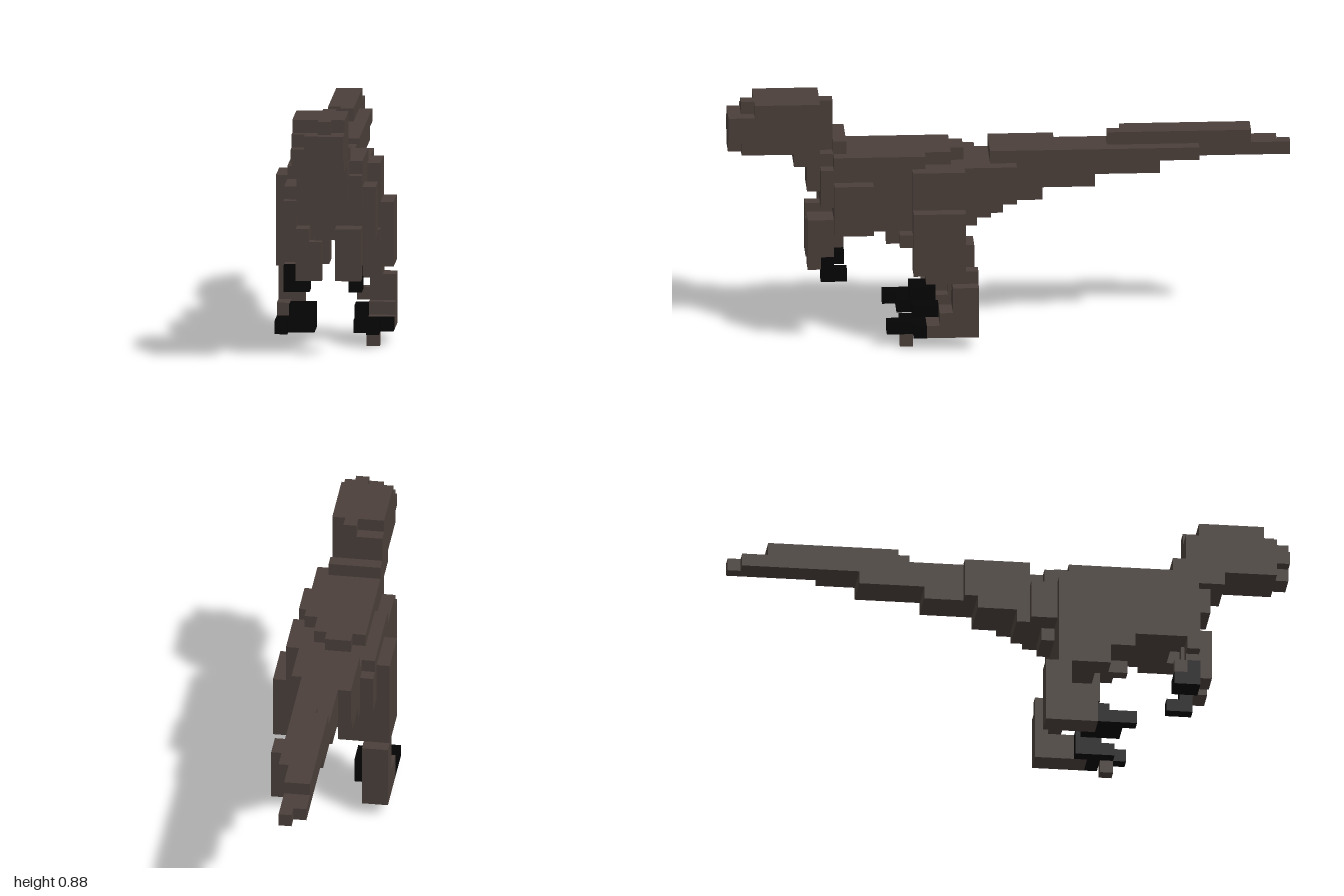
import * as THREE from 'three';

const U = 2 / 43; // edge of one block

export function createModel() {
  const model = new THREE.Group();
  model.name = 'blockDinosaur';
  const hide = new THREE.MeshStandardMaterial({ color: 0x4a3f3a });
  hide.name = 'brownHide';
  const claw = new THREE.MeshStandardMaterial({ color: 0x040404 });
  claw.name = 'blackClaw';

  // Each box is [x0, x1, y0, y1, z0, z1], in blocks from the right rear corner.
  function part(name, material, boxes) {
    const group = new THREE.Group();
    group.name = name;
    for (const [x0, x1, y0, y1, z0, z1] of boxes) {
      const geo = new THREE.BoxGeometry((x1 - x0) * U, (y1 - y0) * U, (z1 - z0) * U);
      const mesh = new THREE.Mesh(geo, material);
      mesh.name = name + 'Block';
      mesh.position.set(((x0 + x1) / 2 - 4.5) * U, ((y0 + y1) / 2) * U, ((z0 + z1) / 2 - 21.5) * U);
      group.add(mesh);
    }
    model.add(group);
  }

  // Head with a notched snout and a narrower back
  part('head', hide, [
    [2, 6, 15, 18, 36, 42], [2, 5, 15, 18, 35, 36],
    [2, 6, 18, 19, 36, 41], [4, 5, 18, 19, 35, 36], [4, 5, 18, 19, 41, 42],
    [2, 6, 16, 17, 42, 43], [3, 6, 17, 18, 42, 43], [3, 5, 15, 16, 42, 43],
  ]);

  // Neck and stepped chest
  part('neck', hide, [
    [2, 6, 15, 16, 34, 35], [2, 6, 14, 15, 34, 38],
    [3, 6, 12, 14, 35, 37], [2, 7, 12, 14, 35, 36],
    [2, 7, 11, 12, 34, 36], [2, 7, 10, 11, 34, 35],
  ]);

  // Torso: spine ridge, ribs and belly
  part('torso', hide, [
    [3, 5, 14, 15, 25, 26], [2, 6, 14, 15, 26, 34], [6, 7, 14, 15, 28, 35],
    [2, 7, 10, 14, 23, 35], [1, 2, 10, 13, 23, 35], [1, 2, 13, 14, 24, 31],
    [1, 2, 10, 12, 35, 36],
    [7, 8, 10, 14, 25, 29], [7, 8, 9, 13, 32, 35],
    [3, 6, 9, 10, 24, 34], [1, 3, 9, 10, 27, 34], [6, 7, 9, 10, 27, 34],
    [3, 6, 8, 9, 25, 29],
  ]);

  // Tail: widening and deepening toward the hips
  part('tail', hide, [
    [4, 5, 14, 15, 0, 1], [3, 5, 14, 15, 1, 7], [3, 6, 14, 15, 7, 18],
    [3, 4, 15, 16, 3, 13], [4, 5, 15, 16, 3, 14],
    [3, 6, 13, 14, 10, 18], [3, 6, 12, 13, 15, 18],
    [2, 6, 14, 15, 18, 23], [2, 6, 12, 14, 18, 23], [2, 6, 11, 12, 19, 23],
    [6, 7, 11, 14, 21, 23], [2, 6, 10, 11, 22, 23],
  ]);

  // Arms, bent forward and then back at the hands
  part('rightArm', hide, [
    [1, 3, 9, 10, 34, 36], [1, 3, 8, 9, 35, 36], [2, 3, 7, 8, 35, 36],
    [2, 3, 9, 10, 36, 37], [2, 4, 6, 9, 36, 37], [1, 2, 6, 7, 34, 35],
  ]);
  part('rightHandClaws', claw, [[1, 3, 5, 6, 34, 36], [1, 2, 6, 7, 35, 36]]);
  part('leftArm', hide, [
    [6, 8, 9, 10, 34, 35], [5, 7, 7, 10, 35, 36], [5, 7, 6, 10, 36, 37],
  ]);
  part('leftHandClaws', claw, [[6, 7, 5, 6, 34, 36], [6, 7, 6, 7, 35, 36]]);

  // Right leg
  part('rightLeg', hide, [
    [0, 1, 6, 13, 25, 29], [1, 2, 6, 10, 25, 29], [2, 4, 6, 9, 25, 28],
    [2, 4, 9, 10, 25, 29], [1, 3, 8, 9, 29, 31],
    [0, 2, 1, 6, 24, 26], [0, 2, 1, 2, 26, 28], [0, 1, 2, 3, 26, 28],
  ]);
  part('rightToes', claw, [
    [0, 1, 1, 2, 28, 31], [1, 2, 1, 2, 28, 30], [2, 3, 1, 2, 27, 30], [1, 3, 2, 3, 27, 29],
  ]);

  // Left leg
  part('leftLeg', hide, [
    [8, 9, 6, 11, 25, 29], [7, 8, 6, 10, 25, 29],
    [5, 7, 6, 9, 25, 28], [5, 8, 9, 10, 25, 29], [5, 8, 5, 6, 25, 28],
    [6, 8, 8, 9, 29, 30], [6, 7, 8, 9, 30, 31],
    [7, 9, 1, 5, 24, 26], [7, 8, 5, 6, 24, 25], [7, 9, 1, 2, 26, 28],
    [6, 7, 3, 4, 25, 26], [7, 9, 2, 3, 26, 27],
    [7, 8, 0, 1, 29, 30],
  ]);
  part('leftToes', claw, [
    [6, 7, 1, 2, 27, 30], [7, 8, 1, 2, 28, 31], [8, 9, 1, 2, 28, 29], [6, 7, 2, 3, 27, 29],
  ]);

  return model;
}
